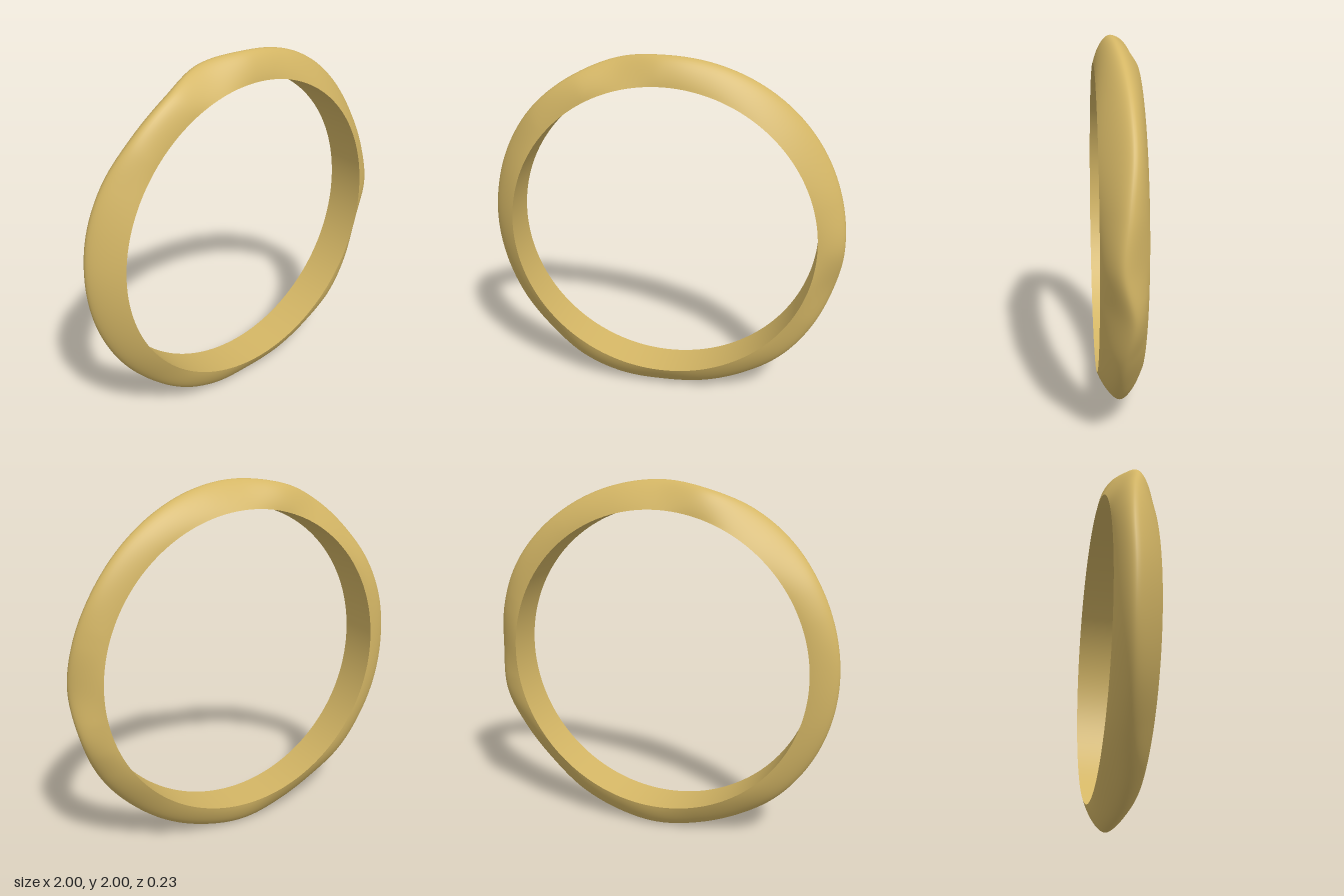
import * as THREE from 'three';

const INNER = 0.855, OUTER = 1, HALF = 0.115, SEGMENTS = 288;

// Sideways drift of the crest, every 15 degrees counter-clockwise from +x
const DRIFT = [
  0.01, -0.015, -0.04, -0.035, -0.015, 0.01, 0.025, -0.025, 0.03, 0.03, -0.01, -0.03,
  -0.03, -0.03, -0.025, -0.02, 0.01, 0.005, -0.02, -0.01, 0, 0.02, 0, -0.035,
];

// Smooth periodic interpolation of the drift, t in 0..1
function crestAt(t) {
  const n = DRIFT.length, s = t * n, i = Math.floor(s), f = s - i;
  const [a, b, c, d] = [-1, 0, 1, 2].map((k) => DRIFT[(i + k + n) % n]);
  return b + 0.5 * f * (c - a + f * (2 * a - 5 * b + 4 * c - d + f * (3 * (b - c) + d - a)));
}

// One flank of the section, from the bore edge up to the crest
function flank(side, crest) {
  const span = HALF - side * crest;
  const lean = Math.max(0.008, 0.02 + (span - HALF) * 0.5);
  return new THREE.CubicBezierCurve(
    new THREE.Vector2(side * HALF, INNER),
    new THREE.Vector2(side * (HALF - lean), 0.915),
    new THREE.Vector2(crest + side * 0.04, OUTER),
    new THREE.Vector2(crest, OUTER),
  ).getPoints(12);
}

// Sweep a section (x = depth, y = radius) around the z axis into a closed band
function sweep(section) {
  const positions = [], indices = [];
  let count = 0;
  for (let i = 0; i < SEGMENTS; i++) {
    const angle = (i / SEGMENTS) * Math.PI * 2;
    const points = section(i / SEGMENTS);
    count = points.length;
    for (const p of points) positions.push(p.y * Math.cos(angle), p.y * Math.sin(angle), p.x);
  }
  for (let i = 0; i < SEGMENTS; i++) {
    for (let j = 0; j < count - 1; j++) {
      const a = i * count + j, c = ((i + 1) % SEGMENTS) * count + j;
      indices.push(a, a + 1, c, a + 1, c + 1, c);
    }
  }
  const geometry = new THREE.BufferGeometry();
  geometry.setAttribute('position', new THREE.Float32BufferAttribute(positions, 3));
  geometry.setIndex(indices);
  geometry.computeVertexNormals();
  return geometry;
}

export function createModel() {
  const gold = new THREE.MeshStandardMaterial({ color: 0xd4b665 });
  gold.name = 'gold';
  const ring = new THREE.Group();
  ring.name = 'ring';

  // Rounded outside with a wandering crest
  const outside = new THREE.Mesh(sweep((t) => {
    const crest = crestAt(t);
    return [...flank(1, crest), ...flank(-1, crest).reverse().slice(1)];
  }), gold);
  outside.name = 'outerBand';

  // Flat cylindrical bore, kept separate so its edges stay crisp
  const bore = new THREE.Mesh(sweep(() => [
    new THREE.Vector2(-HALF, INNER), new THREE.Vector2(HALF, INNER),
  ]), gold);
  bore.name = 'innerBore';

  ring.add(outside, bore);
  ring.position.y = OUTER;
  const model = new THREE.Group();
  model.add(ring);
  return model;
}
